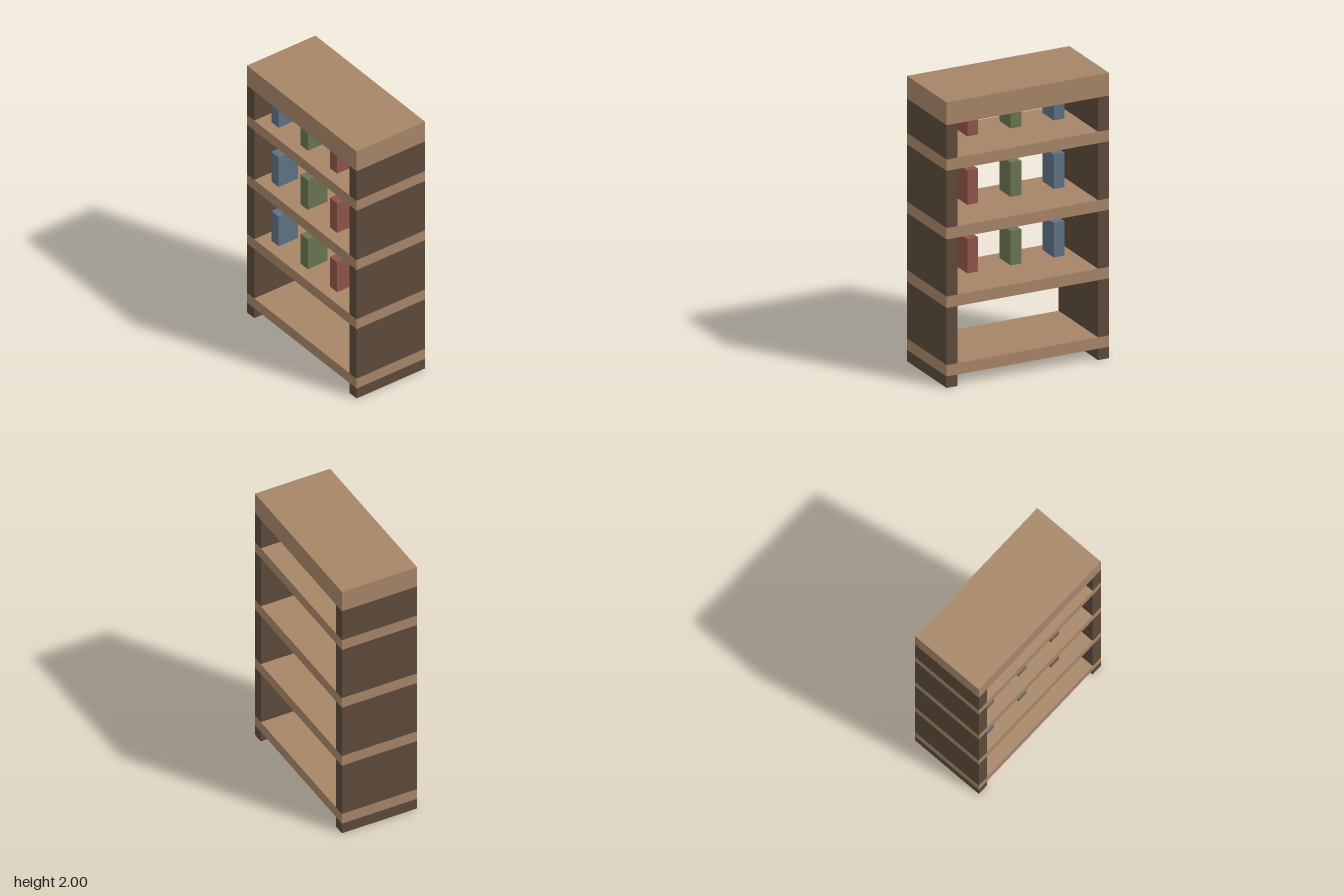
import * as THREE from 'three';

const wood = new THREE.MeshStandardMaterial({ color: 0xa68567 });
wood.name = 'light wood';
const darkWood = new THREE.MeshStandardMaterial({ color: 0x5c4a3a });
darkWood.name = 'dark wood';
const blue = new THREE.MeshStandardMaterial({ color: 0x5f7182 });
blue.name = 'slate blue';
const green = new THREE.MeshStandardMaterial({ color: 0x6a7450 });
green.name = 'moss green';
const red = new THREE.MeshStandardMaterial({ color: 0x8f5448 });
red.name = 'brick red';

const WIDTH = 1.2, DEPTH = 0.56, SIDE = 0.08;

// Box given by its centre in x and z and its bottom and top heights
function slab(name, material, width, depth, bottom, top, x = 0, z = 0) {
  const mesh = new THREE.Mesh(new THREE.BoxGeometry(width, top - bottom, depth), material);
  mesh.name = name;
  mesh.position.set(x, (bottom + top) / 2, z);
  return mesh;
}

export function createModel() {
  const model = new THREE.Group();
  model.name = 'bookcase';

  // Full-width boards: four shelves and the thick top
  const boards = [[0.08, 0.16], [0.56, 0.64], [1.04, 1.12], [1.52, 1.6], [1.84, 2]];
  boards.forEach(([bottom, top], i) => {
    const name = i === boards.length - 1 ? 'topBoard' : 'shelf';
    model.add(slab(name, wood, WIDTH, DEPTH, bottom, top));
  });

  // Side panels fill the gaps below each board
  for (const side of [-1, 1]) {
    const panel = new THREE.Group();
    panel.name = side > 0 ? 'leftSide' : 'rightSide';
    boards.forEach(([bottom], i) => {
      const from = i === 0 ? 0 : boards[i - 1][1];
      panel.add(slab(i === 0 ? 'foot' : 'sidePanel', darkWood, SIDE, DEPTH, from, bottom,
        side * (WIDTH - SIDE) / 2));
    });
    model.add(panel);
  }

  // Three books near the front of each upper shelf
  const books = [[-0.4, blue], [-0.08, green], [0.24, red]];
  for (const [, shelfTop] of boards.slice(1, 4)) {
    for (const [x, material] of books) {
      model.add(slab('book', material, 0.08, 0.16, shelfTop, shelfTop + 0.24, x, 0.12));
    }
  }
  return model;
}
